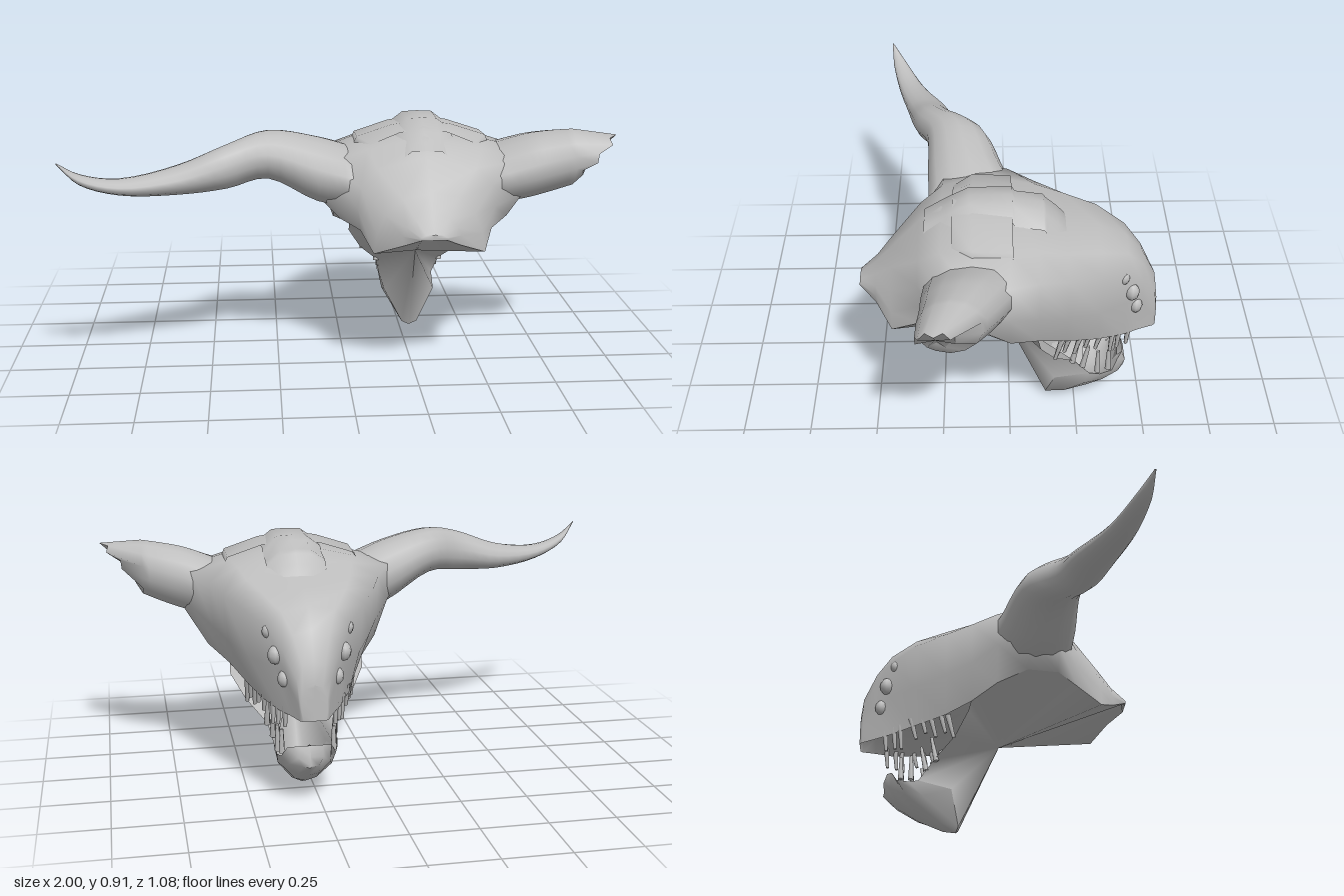
import * as THREE from 'three';

const CX = 0.29; // the skull's centre line

// Smooth skin over rows of [x, y, z] points
function loft(rows, closed = false) {
  const n = rows[0].length, idx = [];
  for (let i = 0; i < rows.length - 1; i++) {
    for (let j = 0; j < (closed ? n : n - 1); j++) {
      const k = (j + 1) % n, a = i * n + j, b = i * n + k, c = a + n, d = b + n;
      idx.push(a, c, b, b, c, d);
    }
  }
  const g = new THREE.BufferGeometry();
  g.setAttribute('position', new THREE.Float32BufferAttribute(rows.flat(2), 3));
  g.setIndex(idx);
  g.computeVertexNormals();
  return g;
}

// Triangles from one centre to a line of points, shaded as one surface
function fan(centre, pts) {
  const g = new THREE.BufferGeometry();
  g.setAttribute('position', new THREE.Float32BufferAttribute([centre, ...pts].flat(), 3));
  g.setIndex(pts.slice(1).flatMap((_, i) => [0, i + 1, i + 2]));
  g.computeVertexNormals();
  return g;
}

// Full row from half a row of [dx, y, z]; the last point lies on the centre line
const mirrorRow = (half) => [
  ...half.map(([d, y, z]) => [CX - d, y, z]),
  ...half.slice(0, -1).reverse().map(([d, y, z]) => [CX + d, y, z]),
];

export function createModel() {
  const root = new THREE.Group();
  const hide = new THREE.MeshStandardMaterial({ color: 0xbebebe, side: THREE.DoubleSide });
  hide.name = 'grey hide';
  const add = (name, geo, parent = root) => {
    const m = new THREE.Mesh(geo, hide);
    m.name = name;
    parent.add(m);
    return m;
  };
  const group = (name) => {
    const g = new THREE.Group();
    g.name = name;
    root.add(g);
    return g;
  };

  // Skull sections: z, crown height, then [half width, height] down to the rim
  const sections = [
    [-0.54, 0.49, [0.03, 0.48], [0.045, 0.44], [0.045, 0.39], [0.04, 0.36]],
    [-0.53, 0.57, [0.04, 0.555], [0.06, 0.51], [0.055, 0.42], [0.05, 0.36]],
    [-0.48, 0.67, [0.065, 0.655], [0.1, 0.6], [0.085, 0.49], [0.075, 0.365]],
    [-0.42, 0.74, [0.095, 0.725], [0.145, 0.67], [0.125, 0.53], [0.11, 0.37]],
    [-0.32, 0.785, [0.15, 0.77], [0.215, 0.715], [0.2, 0.54], [0.16, 0.39]],
    [-0.2, 0.8, [0.19, 0.795], [0.275, 0.74], [0.26, 0.57], [0.205, 0.42]],
    [-0.1, 0.845, [0.21, 0.82], [0.315, 0.765], [0.305, 0.6], [0.25, 0.46]],
    [0, 0.885, [0.23, 0.83], [0.37, 0.785], [0.37, 0.65], [0.32, 0.51]],
    [0.12, 0.895, [0.24, 0.83], [0.41, 0.79], [0.42, 0.66], [0.32, 0.57]],
    [0.24, 0.865, [0.21, 0.82], [0.36, 0.77], [0.37, 0.65], [0.31, 0.565]],
    [0.32, 0.81, [0.18, 0.765], [0.24, 0.7], [0.25, 0.62], [0.24, 0.54]],
    [0.42, 0.7, [0.1, 0.68], [0.16, 0.62], [0.19, 0.55], [0.2, 0.48]],
    [0.48, 0.635, [0.06, 0.62], [0.09, 0.59], [0.105, 0.56], [0.1, 0.525]],
    [0.54, 0.58, [0.03, 0.578], [0.045, 0.57], [0.05, 0.565], [0.045, 0.56]],
  ];
  const halves = sections.map(([z, top, ...side]) =>
    [...side.reverse().map(([d, y]) => [d, y, z]), [0, top, z]]);
  const flatten = (half) => half.map(([, y, z]) => [0, y, z]);
  add('skull', loft([
    mirrorRow(flatten(halves[0])), ...halves.map(mirrorRow), mirrorRow(flatten(halves[13])),
  ]));

  // Roof of the mouth
  const rims = halves.map((h) => h[0]);
  add('palate', loft(rims.slice(0, 8).map(([d, y, z]) =>
    mirrorRow([[d, y, z], [d * 0.5, y + 0.05, z], [0, y + 0.07, z]]))));

  // Cut across the throat, running from the jaw to the neck
  const cut = [
    [0, 0.003, -0.15], [0.03, 0.02, -0.14], [0.1, 0.15, -0.17], [0.11, 0.18, -0.3],
    [0.13, 0.26, -0.24], [0.2, 0.335, -0.16], [0.25, 0.42, -0.11], ...rims.slice(6), [0, 0.575, 0.53],
  ];
  const throat = group('throat');
  for (const s of [-1, 1]) {
    add('throatCut', fan([CX, 0.37, 0.02], cut.map(([d, y, z]) => [CX + s * d, y, z])), throat);
  }

  // Lower jaw: rim, cheek and keel rows towards the chin
  const jawRows = [
    [[0.11, 0.18, -0.3], [0.1, 0.15, -0.17], [0.03, 0.02, -0.14], [0, 0.003, -0.15]],
    [[0.11, 0.175, -0.34], [0.1, 0.12, -0.28], [0.04, 0.03, -0.21], [0, 0.008, -0.2]],
    [[0.1, 0.185, -0.385], [0.09, 0.13, -0.35], [0.04, 0.06, -0.3], [0, 0.045, -0.29]],
    [[0.08, 0.222, -0.405], [0.075, 0.16, -0.41], [0.04, 0.11, -0.385], [0, 0.1, -0.38]],
    [[0.045, 0.23, -0.425], [0.045, 0.19, -0.438], [0.03, 0.155, -0.435], [0, 0.15, -0.44]],
  ];
  add('lowerJaw', loft([...jawRows, flatten(jawRows[4])].map(mirrorRow)));
  add('jawFloor', loft(jawRows.map(([[d, y, z]], i) =>
    mirrorRow([[d, y, z], [d * 0.6, y - 0.03, z + 0.015], [0, y - (i < 4 ? 0.04 : 0), z + 0.015]]))));

  // Horns: x, y, z, vertical radius, depth radius
  const hornRows = (table, steps) => {
    const mid = new THREE.CatmullRomCurve3(table.map((t) => new THREE.Vector3(t[0], t[1], t[2])));
    const rad = new THREE.CatmullRomCurve3(table.map((t) => new THREE.Vector3(t[3], t[4], 0)));
    return Array.from({ length: steps + 1 }, (_, i) => {
      const p = mid.getPoint(i / steps), r = rad.getPoint(i / steps);
      return Array.from({ length: 14 }, (_, j) => {
        const a = (j / 14) * Math.PI * 2;
        return [p.x, p.y + r.x * Math.cos(a), p.z + r.y * Math.sin(a)];
      });
    });
  };
  add('rightHorn', loft(hornRows([
    [0.03, 0.7, 0.12, 0.11, 0.18], [-0.1, 0.735, 0.155, 0.12, 0.15], [-0.28, 0.8, 0.195, 0.088, 0.115],
    [-0.43, 0.775, 0.28, 0.08, 0.085], [-0.6, 0.74, 0.32, 0.052, 0.08], [-0.8, 0.735, 0.395, 0.028, 0.052],
    [-0.93, 0.775, 0.445, 0.018, 0.03], [-1, 0.838, 0.478, 0.003, 0.003],
  ], 28), true));

  // Broken horn with a slanted, jagged end
  const stump = hornRows([
    [0.55, 0.7, 0.12, 0.11, 0.18], [0.68, 0.735, 0.155, 0.12, 0.15],
    [0.76, 0.755, 0.175, 0.115, 0.13], [0.84, 0.775, 0.2, 0.105, 0.11],
  ], 10);
  const brokenEdge = stump[10].map(([, y, z], j) => {
    const c = Math.cos((j / 14) * Math.PI * 2);
    return [0.92 + 0.065 * c + (j % 2 ? -0.015 : 0.01), y + 0.015 - 0.03 * c, 0.245 + (z - 0.2) * 0.6];
  });
  const leftHorn = group('leftBrokenHorn');
  add('hornStump', loft([...stump, brokenEdge].reverse(), true), leftHorn);
  add('brokenEnd', fan([0.9, 0.775, 0.245], [...brokenEdge, brokenEdge[0]]), leftHorn);

  // Raised crown plate and centre crest
  const plate = [[-0.01, 0.9, 0.25], [0.13, 0.908, 0.25], [0.2, 0.89, 0.2]].map(([z, y, w]) =>
    mirrorRow([[w, y - 0.085, z], [w * 0.96, y - 0.06, z], [w * 0.45, y - 0.018, z], [0, y, z]]));
  add('crownPlate', loft(plate));
  const crest = [
    [0.3, 0.825], [0.22, 0.875], [0.14, 0.917], [-0.01, 0.917], [-0.02, 0.9], [-0.12, 0.885],
    [-0.13, 0.87], [-0.17, 0.835], [-0.21, 0.79],
  ].map(([z, y]) => mirrorRow([[0.11, y - 0.045, z], [0.055, y - 0.003, z], [0, y, z]]));
  add('crest', loft(crest.reverse()));

  // Three eyes a side, and the two rows of teeth
  const eyes = group('eyes'), teeth = group('teeth');
  const tooth = (x, y, z, len, dir, lean) => {
    const g = new THREE.CylinderGeometry(0.007, 0.012, len, 5);
    g.translate(0, len / 2 - 0.015, 0);
    const m = add(dir > 0 ? 'lowerTooth' : 'upperTooth', g, teeth);
    m.position.set(x, y, z);
    m.rotation.x = dir > 0 ? lean : Math.PI + lean;
  };
  for (const s of [-1, 1]) {
    for (const [d, y, z, r] of [[0.143, 0.655, -0.403, 0.022], [0.122, 0.577, -0.437, 0.03], [0.094, 0.495, -0.457, 0.027]]) {
      const e = add('eye', new THREE.SphereGeometry(r, 8, 6), eyes);
      e.scale.set(0.9, 1.15, 0.9);
      e.position.set(CX + s * d, y, z);
    }
    for (const [d, y, z, len] of [
      [0.195, 0.41, -0.185, 0.1], [0.185, 0.425, -0.215, 0.09], [0.175, 0.42, -0.255, 0.1], [0.165, 0.42, -0.29, 0.08],
      [0.15, 0.41, -0.33, 0.09], [0.125, 0.39, -0.375, 0.1], [0.11, 0.385, -0.4, 0.09], [0.09, 0.375, -0.435, 0.08],
    ]) tooth(CX + s * d, y, z, len, -1, z > -0.34 ? -0.25 : -0.08);
    for (const [d, y, z, len] of [
      [0.13, 0.27, -0.235, 0.1], [0.115, 0.235, -0.275, 0.1], [0.105, 0.2, -0.33, 0.1], [0.095, 0.205, -0.37, 0.09],
    ]) tooth(CX + s * d, y, z, len, 1, z > -0.3 ? -0.2 : 0);
  }
  return root;
}
